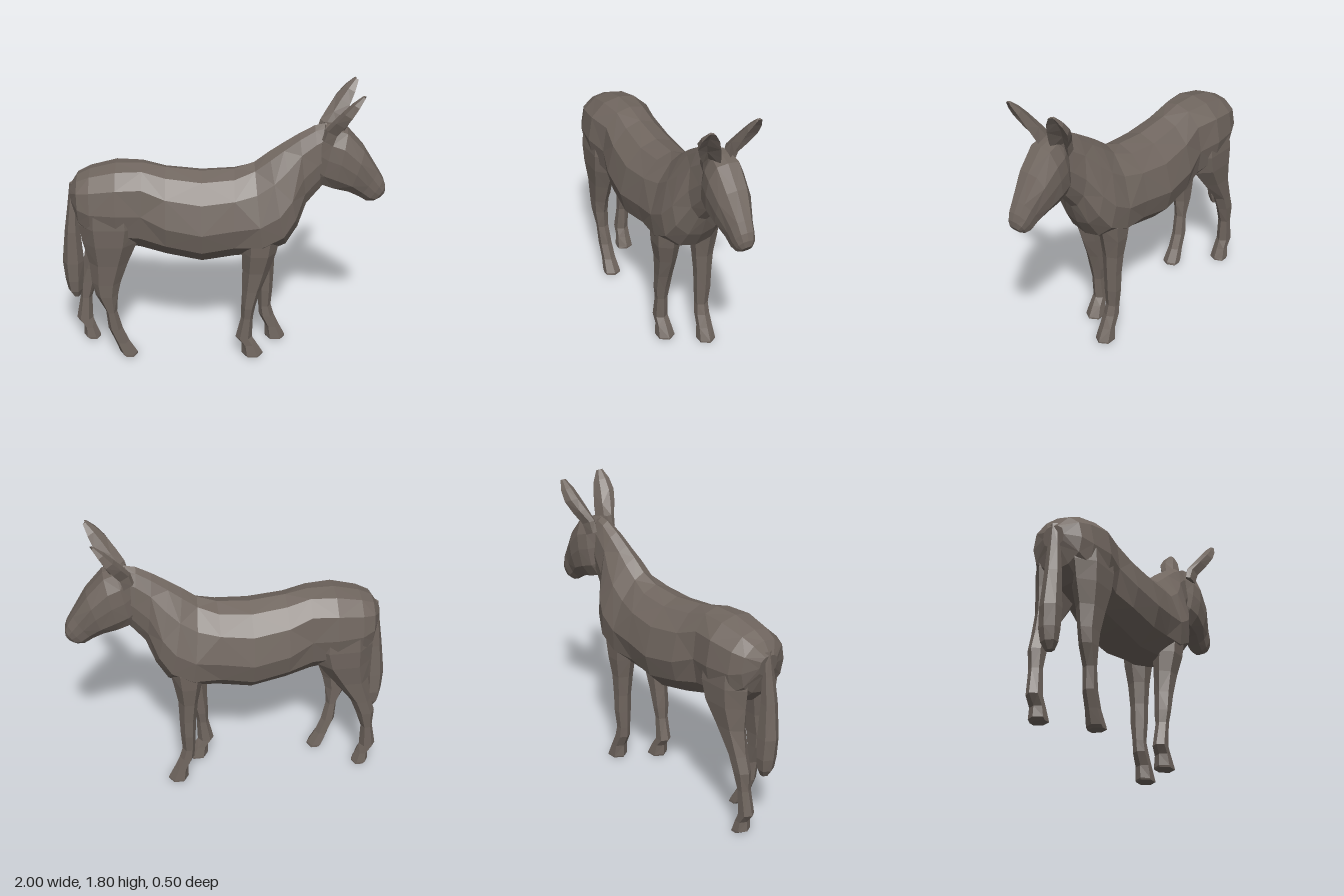
import * as THREE from 'three';

const coat = new THREE.MeshStandardMaterial({ color: 0x70665f, flatShading: true });
coat.name = 'greyBrownCoat';

const V = (x, y, z) => new THREE.Vector3(x, y, z);

// Skins a list of equal-length closed rings and caps both ends, facing outward.
function loft(name, rings) {
  const n = rings[0].length;
  const tris = [];
  for (let i = 0; i < rings.length - 1; i++) {
    for (let j = 0; j < n; j++) {
      const k = (j + 1) % n;
      const a = rings[i][j], b = rings[i][k], c = rings[i + 1][k], d = rings[i + 1][j];
      if ((i + j) % 2) tris.push([a, b, c], [a, c, d]);
      else tris.push([a, b, d], [b, c, d]);
    }
  }
  const cap = (ring, flip) => {
    const mid = ring.reduce((s, p) => s.add(p), V(0, 0, 0)).divideScalar(n);
    ring.forEach((p, j) => {
      const q = ring[(j + 1) % n];
      tris.push(flip ? [mid, q, p] : [mid, p, q]);
    });
  };
  cap(rings[0], true);
  cap(rings[rings.length - 1], false);
  // Signed volume tells whether the winding must be reversed
  const volume = tris.reduce((s, [a, b, c]) => s + a.dot(b.clone().cross(c)), 0);
  const points = tris.flatMap(([a, b, c]) => (volume > 0 ? [a, b, c] : [a, c, b]));
  const geometry = new THREE.BufferGeometry().setFromPoints(points);
  geometry.computeVertexNormals();
  const mesh = new THREE.Mesh(geometry, coat);
  mesh.name = name;
  return mesh;
}

// Half outlines: [share of the way from top to bottom, share of the half width]
const RUMP = [[0, 0], [0.04, 0.48], [0.2, 0.88], [0.5, 1], [0.78, 0.88], [0.95, 0.45], [1, 0]];
const BARREL = [[0, 0], [0.06, 0.42], [0.24, 0.82], [0.55, 1], [0.78, 0.86], [0.95, 0.45], [1, 0]];
const CHEST = [[0, 0], [0.06, 0.3], [0.26, 0.72], [0.58, 1], [0.82, 0.93], [0.96, 0.5], [1, 0]];
const SKULL = [[0, 0], [0.02, 0.6], [0.25, 0.95], [0.5, 1], [0.78, 0.9], [0.97, 0.5], [1, 0]];

// Ring through a top point and a bottom point on the centre plane
function spineRing([tx, ty, bx, by, w], outline) {
  const at = ([t, s], side) => V(tx + (bx - tx) * t, ty + (by - ty) * t, side * s * w);
  const near = outline.map((p) => at(p, 1));
  const far = outline.slice(1, -1).reverse().map((p) => at(p, -1));
  return [...near, ...far];
}

// Level six-sided ring: back x, front x, height, middle z, half width
function limbRing([x0, x1, y, z, rz]) {
  return Array.from({ length: 6 }, (_, i) => {
    const a = (i * Math.PI) / 3;
    return V((x0 + x1) / 2 + (Math.cos(a) * (x1 - x0)) / 2, y, z + (Math.sin(a) * rz) / 0.87);
  });
}

const limb = (name, rows, side) =>
  loft(name, rows.map(([x0, x1, y, z, rz]) => limbRing([x0, x1, y, z * side, rz])));

// Cupped leaf: the front middle point is sunk behind the rims
function ear(name, side, shift) {
  const rows = [ // x, y, z, half width, depth
    [0.645, 1.46, 0.072, 0.035, 0.065],
    [0.665, 1.53, 0.075, 0.044, 0.066],
    [0.705, 1.6, 0.105, 0.058, 0.06],
    [0.745, 1.67, 0.132, 0.063, 0.05],
    [0.785, 1.735, 0.144, 0.05, 0.035],
    [0.822, 1.79, 0.152, 0.02, 0.014],
  ];
  return loft(name, rows.map(([x, y, z, w, d]) => {
    const at = (u, f) => V(x + shift + f * d * 0.9, y - f * d * 0.4, side * z + u * w);
    // the inner rim lies further forward, so the cup opens outward
    return [at(-side, 0.8), at(-0.7 * side, -0.4), at(0, -1), at(0.7 * side, -0.8), at(side, 0.1), at(0, -0.2)];
  }));
}

export function createModel() {
  const group = new THREE.Group();
  group.name = 'donkey';

  // Rump, barrel, chest and neck: top x, top y, bottom x, bottom y, half width
  const trunk = [
    [RUMP, [
      [-0.93, 1.15, -0.91, 1.02, 0.07],
      [-0.88, 1.225, -0.87, 0.9, 0.165],
      [-0.8, 1.265, -0.8, 0.82, 0.2],
      [-0.64, 1.305, -0.64, 0.78, 0.222],
      [-0.48, 1.305, -0.5, 0.745, 0.19],
    ]],
    [BARREL, [
      [-0.34, 1.275, -0.34, 0.705, 0.23],
      [-0.12, 1.25, -0.12, 0.66, 0.25],
      [0.08, 1.265, 0.08, 0.69, 0.228],
    ]],
    [CHEST, [
      [0.2, 1.31, 0.26, 0.715, 0.22],
      [0.29, 1.38, 0.4, 0.78, 0.21],
      [0.37, 1.435, 0.47, 0.895, 0.175],
    ]],
    [BARREL, [
      [0.47, 1.5, 0.52, 1.03, 0.108],
      [0.56, 1.55, 0.6, 1.13, 0.085],
      [0.63, 1.565, 0.65, 1.2, 0.07],
    ]],
  ];
  group.add(loft('bodyAndNeck', trunk.flatMap(([outline, rows]) => rows.map((r) => spineRing(r, outline)))));

  // Head, from poll to muzzle
  group.add(loft('head', [
    [0.62, 1.56, 0.56, 1.2, 0.07],
    [0.68, 1.55, 0.6, 1.17, 0.102],
    [0.755, 1.53, 0.68, 1.145, 0.118],
    [0.86, 1.41, 0.77, 1.125, 0.108],
    [0.95, 1.265, 0.835, 1.09, 0.075],
    [0.985, 1.205, 0.885, 1.058, 0.066],
    [1.0, 1.16, 0.93, 1.056, 0.054],
    [1.0, 1.12, 0.965, 1.075, 0.034],
  ].map((r) => spineRing(r, SKULL))));

  group.add(ear('leftEar', 1, 0.012), ear('rightEar', -1, -0.01));

  // Forelegs, shoulder to hoof: back x, front x, y, z, half width
  group.add(limb('nearForeleg', [
    [0.16, 0.32, 0.95, 0.11, 0.07],
    [0.125, 0.36, 0.86, 0.12, 0.08],
    [0.125, 0.34, 0.75, 0.118, 0.076],
    [0.13, 0.3, 0.62, 0.11, 0.06],
    [0.13, 0.25, 0.48, 0.11, 0.05],
    [0.125, 0.215, 0.36, 0.112, 0.046],
    [0.125, 0.2, 0.28, 0.112, 0.036],
    [0.09, 0.195, 0.13, 0.11, 0.04],
    [0.13, 0.225, 0.08, 0.107, 0.043],
    [0.13, 0.265, 0.01, 0.105, 0.053],
    [0.135, 0.265, 0, 0.105, 0.053],
  ], 1));
  group.add(limb('farForeleg', [
    [0.18, 0.36, 0.95, 0.11, 0.07],
    [0.165, 0.39, 0.86, 0.12, 0.08],
    [0.19, 0.365, 0.75, 0.118, 0.076],
    [0.215, 0.34, 0.62, 0.115, 0.06],
    [0.23, 0.335, 0.48, 0.115, 0.05],
    [0.235, 0.33, 0.36, 0.115, 0.048],
    [0.24, 0.32, 0.24, 0.112, 0.038],
    [0.245, 0.34, 0.17, 0.11, 0.042],
    [0.285, 0.375, 0.09, 0.11, 0.045],
    [0.285, 0.415, 0.01, 0.11, 0.052],
    [0.29, 0.415, 0, 0.11, 0.052],
  ], -1));

  // Hind legs, thigh to hoof
  group.add(limb('nearHindLeg', [
    [-0.87, -0.5, 1.05, 0.11, 0.09],
    [-0.875, -0.49, 0.94, 0.118, 0.09],
    [-0.855, -0.52, 0.82, 0.12, 0.082],
    [-0.82, -0.58, 0.68, 0.122, 0.062],
    [-0.81, -0.63, 0.54, 0.125, 0.048],
    [-0.79, -0.65, 0.45, 0.125, 0.044],
    [-0.73, -0.66, 0.33, 0.12, 0.036],
    [-0.72, -0.63, 0.2, 0.112, 0.038],
    [-0.68, -0.59, 0.1, 0.108, 0.04],
    [-0.65, -0.54, 0.015, 0.105, 0.05],
    [-0.63, -0.54, 0, 0.105, 0.05],
  ], 1));
  group.add(limb('farHindLeg', [
    [-0.87, -0.5, 1.05, 0.11, 0.09],
    [-0.88, -0.49, 0.94, 0.118, 0.09],
    [-0.87, -0.53, 0.82, 0.12, 0.082],
    [-0.865, -0.64, 0.68, 0.122, 0.062],
    [-0.89, -0.76, 0.52, 0.125, 0.048],
    [-0.92, -0.8, 0.42, 0.125, 0.044],
    [-0.915, -0.84, 0.3, 0.12, 0.036],
    [-0.945, -0.84, 0.14, 0.112, 0.04],
    [-0.9, -0.82, 0.08, 0.11, 0.042],
    [-0.905, -0.795, 0.015, 0.11, 0.05],
    [-0.88, -0.795, 0, 0.11, 0.05],
  ], -1));

  // Tail: slim dock widening to a tuft
  group.add(limb('tail', [
    [-0.93, -0.87, 1.17, 0, 0.025],
    [-0.95, -0.885, 1.02, 0.005, 0.035],
    [-0.975, -0.88, 0.85, 0.01, 0.045],
    [-1.0, -0.865, 0.63, 0.005, 0.055],
    [-0.99, -0.875, 0.5, 0, 0.055],
    [-0.975, -0.885, 0.42, 0, 0.045],
    [-0.945, -0.9, 0.375, 0, 0.025],
  ], 1));

  return group;
}
